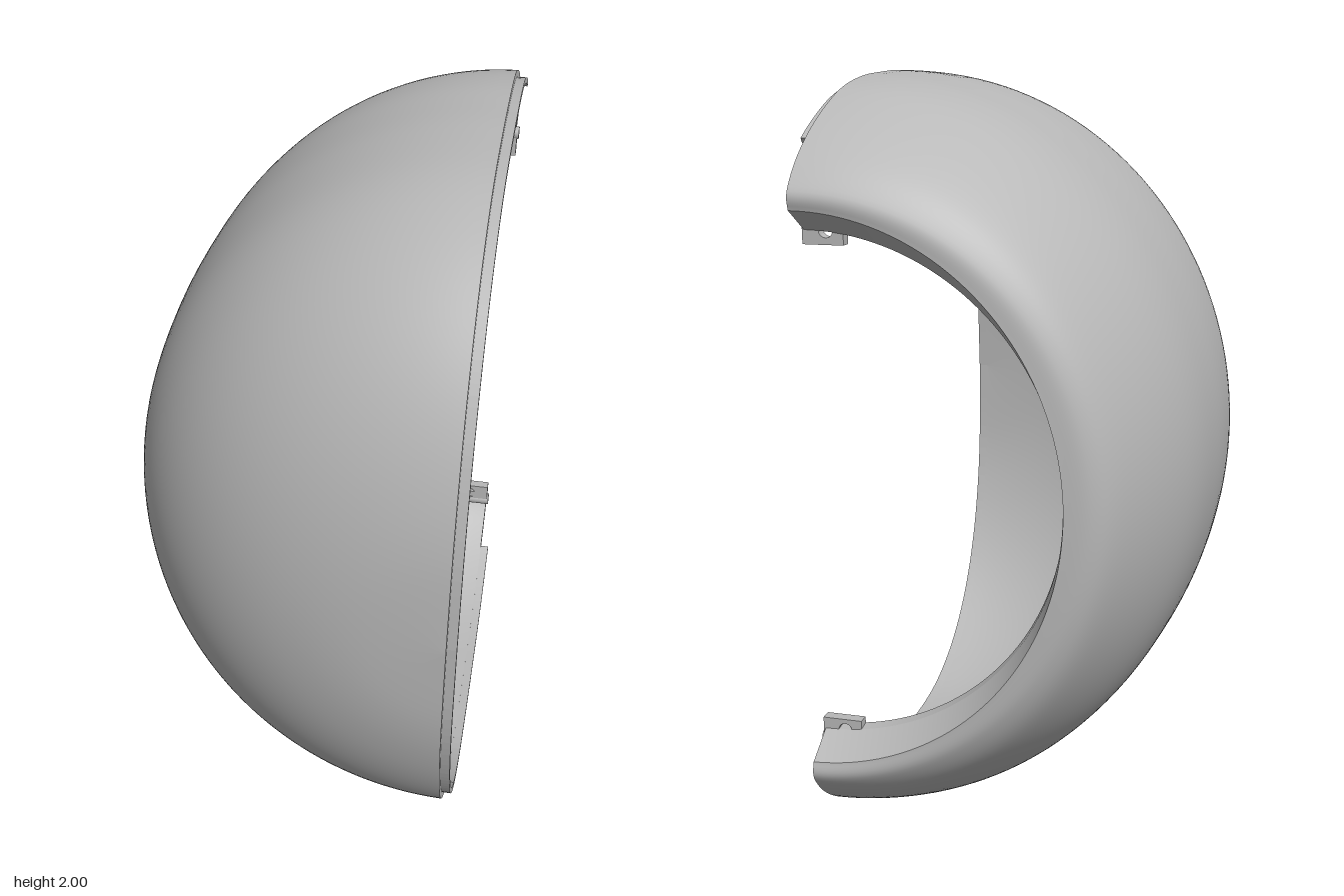
import * as THREE from 'three';

const CX = 0.45, CY = 1, WALL = 0.034;
const V = (r, z) => new THREE.Vector2(r, z);

// Profile (radius, z) from the front pole round to the edge of the rear opening
function profile(radius, back) {
  const pts = [];
  for (let i = 0; i <= 8; i++) {
    const a = (i / 8) * Math.PI / 2, e = 2 / 2.4;
    pts.push(V(radius * Math.sin(a) ** e, 0.795 * Math.max(0, Math.cos(a)) ** e));
  }
  return new THREE.SplineCurve([...pts, ...back.map(p => V(...p))]);
}

// Sample a profile, moved inward by d
function offset(curve, d, n = 90) {
  return Array.from({ length: n + 1 }, (_, i) => {
    const p = curve.getPoint(i / n), t = curve.getTangent(i / n);
    return V(i === 0 ? 0 : Math.max(0, p.x + t.y * d), p.y - t.x * d);
  });
}

// Half-turn sweep, blending the side profile into the top and bottom profile
function sweep(side, top, segments = 80) {
  const pos = [], idx = [], n = side.length;
  for (let j = 0; j <= segments; j++) {
    const a = (j / segments - 0.5) * Math.PI, c = Math.cos(a), s = Math.sin(a);
    for (let i = 0; i < n; i++) {
      pos.push(CX - side[i].x * c, CY + top[i].x * s, side[i].y * c + top[i].y * (1 - c));
      if (j < segments && i < n - 1) {
        const k = j * n + i;
        idx.push(k, k + n, k + 1, k + 1, k + n, k + n + 1);
      }
    }
  }
  const g = new THREE.BufferGeometry();
  g.setAttribute('position', new THREE.Float32BufferAttribute(pos, 3));
  g.setIndex(idx);
  g.computeVertexNormals();
  return g;
}

export function createModel() {
  const model = new THREE.Group();
  model.name = 'halfShell';
  const grey = new THREE.MeshStandardMaterial({ color: 0xb8b8b8, side: THREE.DoubleSide });
  grey.name = 'grey';
  const add = (name, geometry, parent = model) => {
    const m = new THREE.Mesh(geometry, grey);
    m.name = name;
    parent.add(m);
    return m;
  };

  const sideCurve = profile(0.925, [[0.92, -0.18], [0.905, -0.32], [0.875, -0.44],
    [0.825, -0.57], [0.765, -0.685], [0.715, -0.73], [0.65, -0.747]]);
  const topCurve = profile(1, [[1, -0.15], [0.993, -0.3], [0.965, -0.45],
    [0.9, -0.605], [0.825, -0.72], [0.75, -0.787], [0.705, -0.785]]);
  const sideOut = offset(sideCurve, 0), topOut = offset(topCurve, 0);
  const sideIn = offset(sideCurve, WALL), topIn = offset(topCurve, WALL);

  // Curved shell skins
  add('outerShell', sweep(sideOut, topOut));
  add('innerShell', sweep([...sideIn].reverse(), [...topIn].reverse()));

  // Lip of the rear opening, one crisp band per step
  const last = a => a[a.length - 1];
  const sideLip = [last(sideOut), V(0.64, -0.7), V(0.635, -0.67), V(0.655, -0.67), V(0.66, -0.69), last(sideIn)];
  const topLip = [last(topOut), V(0.65, -0.7), V(0.645, -0.67), V(0.665, -0.67), V(0.695, -0.72), last(topIn)];
  for (let i = 0; i < sideLip.length - 1; i++) {
    add('openingLip', sweep(sideLip.slice(i, i + 2), topLip.slice(i, i + 2)));
  }

  // Cut face and raised joining ridge, mirrored top and bottom
  const keep = p => p.y > -0.645;
  const ridgeOut = offset(topCurve, 0.018).filter(keep);
  const ridgeIn = offset(topCurve, WALL - 0.001).filter(keep);
  const cutLoop = [...topOut, ...topLip.slice(1, -1), ...[...topIn].reverse()];
  const ridgeLoop = [...ridgeOut, ...ridgeIn.reverse()];
  for (const s of [1, -1]) {
    const outline = loop => new THREE.Shape(loop.map(p => V(-p.y, CY + s * p.x)));
    const face = add('cutFace', new THREE.ShapeGeometry(outline(cutLoop)));
    const ridge = add('joiningRidge', new THREE.ExtrudeGeometry(outline(ridgeLoop),
      { depth: 0.025, bevelEnabled: false }));
    for (const m of [face, ridge]) {
      m.rotation.y = Math.PI / 2;
      m.position.x = CX;
    }

    // Screw bracket at each end of the opening
    const bracket = new THREE.Group();
    bracket.name = s > 0 ? 'upperBracket' : 'lowerBracket';
    bracket.position.set(CX, CY + s * 0.65, -0.685);
    model.add(bracket);
    const plate = new THREE.Shape([V(-0.1, -0.035), V(0.005, -0.035), V(0.005, 0.03), V(-0.1, 0.03)]);
    const hole = new THREE.Path();
    hole.absarc(-0.055, 0, 0.018, 0, Math.PI * 2, true);
    plate.holes.push(hole);
    const p = add('bracketPlate', new THREE.ExtrudeGeometry(plate,
      { depth: 0.03, bevelEnabled: false, curveSegments: 16 }), bracket);
    p.position.z = -0.015;
    const pin = add('bracketPin', new THREE.CylinderGeometry(0.018, 0.018, 0.11, 20), bracket);
    pin.rotation.z = Math.PI / 2;
    pin.position.set(-0.045, s * 0.03, 0);
  }
  return model;
}
